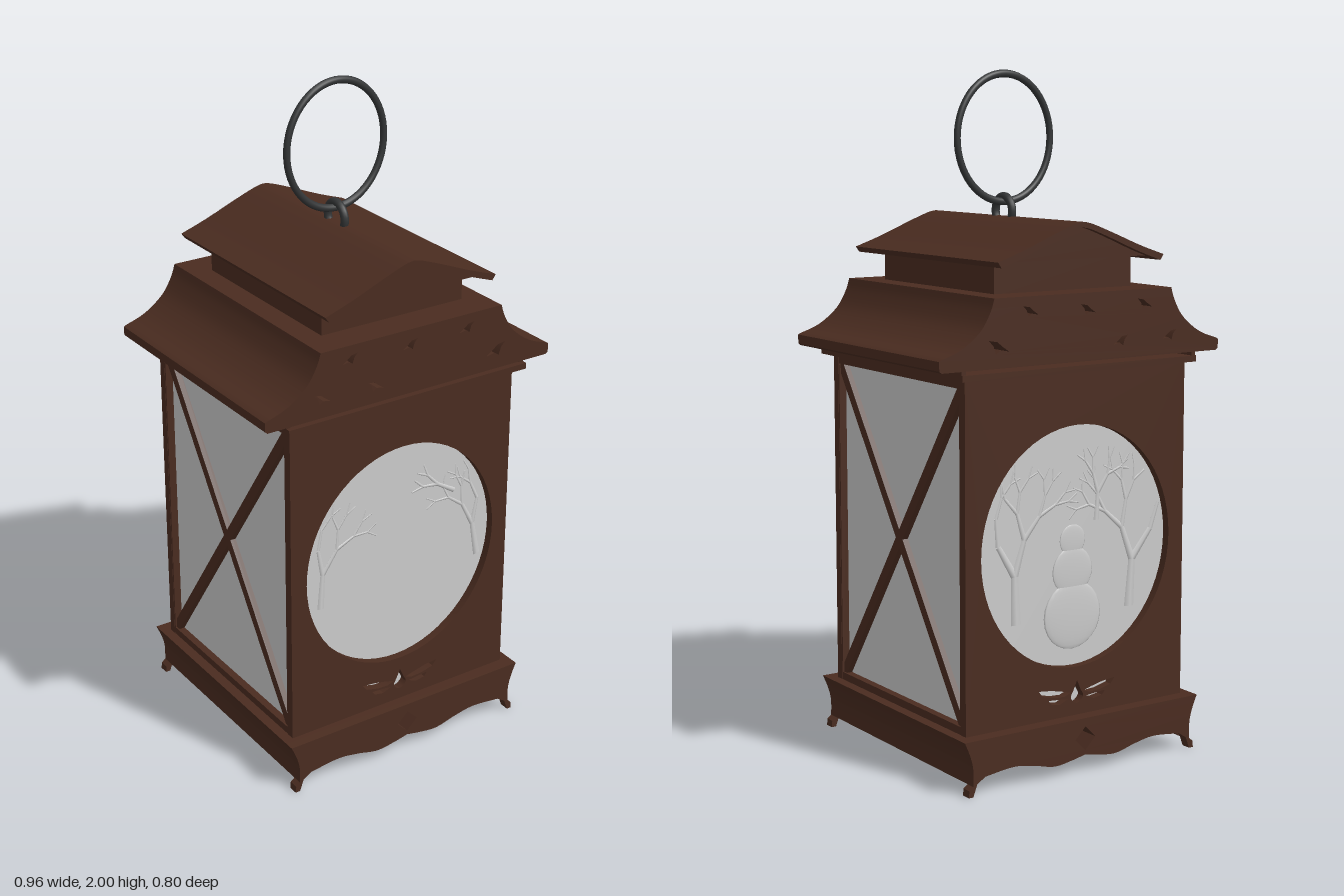
import * as THREE from 'three';
import { toCreasedNormals } from 'three/addons/utils/BufferGeometryUtils.js';

const wood = new THREE.MeshStandardMaterial({ color: 0x4a2c20 });
const iron = new THREE.MeshStandardMaterial({ color: 0x333536 });
const glass = new THREE.MeshStandardMaterial({ color: 0xcccccc, side: THREE.DoubleSide });

export function createModel() {
  const root = new THREE.Group();

  const add = (name, geo, mat = wood, x = 0, y = 0, z = 0, parent = root) => {
    const m = new THREE.Mesh(geo, mat);
    m.name = name;
    m.position.set(x, y, z);
    parent.add(m);
    return m;
  };
  const box = (name, w, h, d, x, y, z, mat = wood, parent = root) =>
    add(name, new THREE.BoxGeometry(w, h, d), mat, x, y, z, parent);
  const v = (pts) => pts.map(([x, y]) => new THREE.Vector2(x, y));
  // outline symmetric about x = 0, given by its right half
  const mirrored = (half) => new THREE.Shape(v([
    ...half, ...half.filter((p) => p[0] !== 0).reverse().map(([x, y]) => [-x, y])]));
  const path = (pts) => new THREE.Path(v(pts));
  const slab = (name, shape, z0, z1, parent = root) => {
    const g = new THREE.ExtrudeGeometry(shape, { depth: z1 - z0, bevelEnabled: false, curveSegments: 32 });
    return add(name, toCreasedNormals(g, 0.5), wood, 0, 0, z0, parent);
  };
  const smooth = (pts, n) => new THREE.SplineCurve(v(pts)).getPoints(n).map((p) => [p.x, p.y]);

  // Base: scalloped end boards with feet around a shallower core
  const scallop = smooth([[0, 0.052], [0.05, 0.042], [0.11, 0.036], [0.18, 0.052], [0.25, 0.062], [0.345, 0.052]], 24);
  const flare = smooth([[0.385, 0.03], [0.385, 0.08], [0.395, 0.12], [0.412, 0.16]], 10);
  const diamond = () => path([[0, 0.065], [0.035, 0.1], [0, 0.135], [-0.035, 0.1]]);
  const board = mirrored([...scallop, [0.372, 0.035], [0.385, 0], [0.4, 0], [0.398, 0.02], ...flare]);
  const core = mirrored([...scallop, [0.37, 0.032], ...flare]);
  for (const s of [board, core]) s.holes.push(diamond());
  slab('baseFrontBoard', board, 0.372, 0.402);
  slab('baseBackBoard', board, -0.402, -0.372);
  slab('baseCore', core, -0.373, 0.373);
  add('baseInlay', new THREE.PlaneGeometry(0.08, 0.08), glass, 0, 0.1, 0);

  // End panels with an oval window and a cut-out leaf motif
  const panel = new THREE.Shape(v([[-0.382, 0.155], [0.382, 0.155], [0.382, 1.165], [-0.382, 1.165]]));
  panel.holes.push(new THREE.Path().absellipse(0, 0.655, 0.33, 0.352, 0, Math.PI * 2));
  panel.holes.push(path(smooth([[0, 0.262], [0.012, 0.235], [0.022, 0.212], [0, 0.194], [-0.022, 0.212], [-0.012, 0.235], [0, 0.262]], 18)));
  for (const s of [-1, 1]) {
    const leaf = (pts) => panel.holes.push(path(pts.map(([x, y]) => [x * s, y])));
    leaf([[0.022, 0.228], [0.05, 0.236], [0.09, 0.245], [0.135, 0.25], [0.12, 0.232], [0.08, 0.222], [0.045, 0.22]]);
    leaf([[0.032, 0.211], [0.06, 0.214], [0.1, 0.217], [0.09, 0.204], [0.06, 0.199]]);
  }

  // Winter tree relief: tapering branches that fork by rule
  let seed = 7;
  const rnd = () => (seed = (seed * 16807) % 2147483647) / 2147483647;
  const branch = (group, x, y, ang, len, w) => {
    const nx = x + Math.cos(ang) * len, ny = y + Math.sin(ang) * len;
    if (Math.hypot(nx / 0.32, (ny - 0.655) / 0.34) > 1) return;
    const m = add('branch', new THREE.CylinderGeometry(w * 0.7, w, len, 5), glass, (x + nx) / 2, (y + ny) / 2, 0.338, group);
    m.rotation.z = ang - Math.PI / 2;
    m.scale.z = 0.4;
    if (len < 0.045) return;
    branch(group, nx, ny, ang + 0.25 + rnd() * 0.4, len * 0.76, w * 0.7);
    branch(group, nx, ny, ang - 0.25 - rnd() * 0.4, len * 0.76, w * 0.7);
  };
  const endPanel = (name, trees) => {
    const g = new THREE.Group();
    g.name = name;
    root.add(g);
    slab('windowPanel', panel, 0.335, 0.36, g);
    add('windowGlass', new THREE.PlaneGeometry(0.74, 0.99), glass, 0, 0.66, 0.334, g);
    for (const t of trees) branch(g, ...t);
    return g;
  };
  endPanel('frontPanel', [[-0.27, 0.55, 1.5, 0.11, 0.012], [0.29, 0.56, 1.75, 0.11, 0.012], [0.2, 0.8, 2.6, 0.07, 0.008]]);
  const back = endPanel('backPanel', [[-0.2, 0.45, 1.6, 0.14, 0.018], [0.2, 0.45, 1.5, 0.14, 0.018], [0.08, 0.72, 1.5, 0.08, 0.01]]);
  back.rotation.y = Math.PI;
  for (const [r, y] of [[0.1, 0.45], [0.07, 0.58], [0.045, 0.67]]) {
    add('roundRelief', new THREE.SphereGeometry(r, 20, 12), glass, 0, y, 0.334, back).scale.z = 0.08;
  }

  // Glazed sides with frame and crossed bars
  for (const s of [-1, 1]) {
    const side = new THREE.Group();
    side.name = s > 0 ? 'leftSide' : 'rightSide';
    root.add(side);
    box('sideGlass', 0.006, 0.99, 0.68, s * 0.355, 0.66, 0, glass, side);
    for (const z of [-1, 1]) box('sidePost', 0.03, 1.0, 0.028, s * 0.366, 0.66, z * 0.344, wood, side);
    box('sideBottomRail', 0.03, 0.03, 0.68, s * 0.366, 0.168, 0, wood, side);
    box('sideTopRail', 0.03, 0.03, 0.68, s * 0.366, 1.15, 0, wood, side);
    for (const d of [-1, 1]) {
      box('crossBar', 0.018, Math.hypot(0.67, 0.96), 0.03, s * 0.367, 0.66, 0, wood, side)
        .rotation.x = d * Math.atan2(0.67, 0.96);
    }
    box('eaveSpacer', 0.014, 0.03, 0.76, s * 0.398, 1.182, 0);
  }
  box('eaveTray', 0.81, 0.018, 0.78, 0, 1.169, 0.005);

  // Lower roof with flared slopes and small bird cut-outs
  const lower = mirrored([[0.475, 1.19], [0.482, 1.196], [0.482, 1.222],
    ...smooth([[0.475, 1.226], [0.41, 1.25], [0.35, 1.295], [0.318, 1.345], [0.305, 1.382]], 16)]);
  const birds = [[-0.21, 1.342, 1], [-0.01, 1.337, 1], [0.185, 1.342, 1], [-0.3, 1.247, -1], [-0.125, 1.242, -1], [0.29, 1.25, 1.3]];
  for (const [x, y, s] of birds) {
    lower.holes.push(path([[-0.026, -0.012], [-0.004, -0.008], [0.008, -0.016], [0.014, 0.002], [0.026, 0.014], [0.004, 0.01], [-0.008, 0]]
      .map(([a, b]) => [x + a * s, y + b * Math.abs(s)])));
  }
  slab('lowerRoof', lower, -0.39, 0.397);
  add('lowerRoofInlay', new THREE.PlaneGeometry(0.7, 0.06), glass, 0, 1.245, 0);
  add('lowerRoofInlay', new THREE.PlaneGeometry(0.56, 0.05), glass, 0, 1.342, 0);

  // Neck and gabled top roof
  box('roofNeck', 0.475, 0.11, 0.585, 0, 1.43, 0.006);
  const slope = smooth([[0.285, 1.477], [0.2, 1.506], [0.1, 1.546], [0.03, 1.572], [0, 1.578]], 12);
  const under = slope.map(([x, y]) => [x * 0.96, y - 0.016]).reverse();
  slab('topRoof', mirrored([...under, ...slope]), -0.378, 0.39);
  slab('topGable', mirrored([[0.25, 1.474], ...slope.slice(2).map(([x, y]) => [x * 0.96, y - 0.008])]), -0.355, 0.365);

  // Hanging ring in its eye
  const eye = add('ringEye', new THREE.TorusGeometry(0.043, 0.012, 12, 32), iron, 0, 1.592, 0.015);
  eye.rotation.y = Math.PI / 2;
  const ring = add('hangingRing', new THREE.TorusGeometry(0.165, 0.01, 12, 64), iron, 0, 1.804, 0.013);
  ring.scale.y = 1.12;
  ring.rotation.y = 0.02;

  return root;
}
